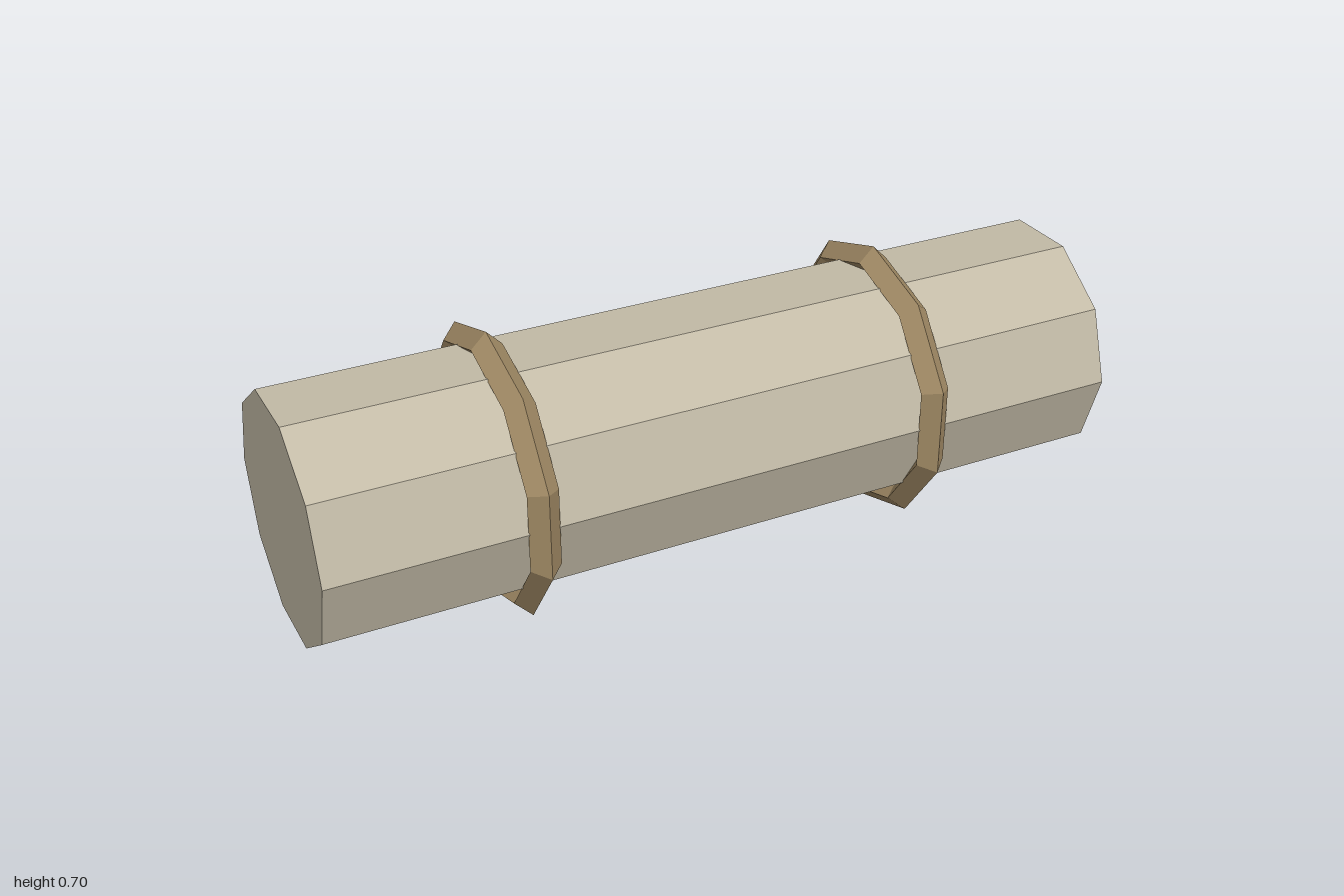
import * as THREE from 'three';

export function createModel() {
  const model = new THREE.Group();
  const mat = (name, color) => {
    const m = new THREE.MeshStandardMaterial({ color, flatShading: true });
    m.name = name;
    return m;
  };
  const stone = mat('pale stone', 0xc2baa6);
  const bronze = mat('tan band', 0xa38c66);
  const centreY = 0.351;

  const add = (name, geometry, material, x) => {
    const mesh = new THREE.Mesh(geometry, material);
    mesh.name = name;
    mesh.position.set(x, centreY, 0);
    model.add(mesh);
  };

  // Ten-sided body lying along x, with corners at front and back
  const body = new THREE.CylinderGeometry(0.299, 0.299, 2, 10);
  body.rotateZ(Math.PI / 2);
  add('body', body, stone, 0);

  // Diamond-section bands, with corners at top and bottom
  const band = new THREE.TorusGeometry(0.312, 0.0375, 4, 10);
  band.rotateZ(Math.PI / 2).rotateY(Math.PI / 2);
  add('leftBand', band, bronze, 0.5);
  add('rightBand', band, bronze, -0.5);

  return model;
}
